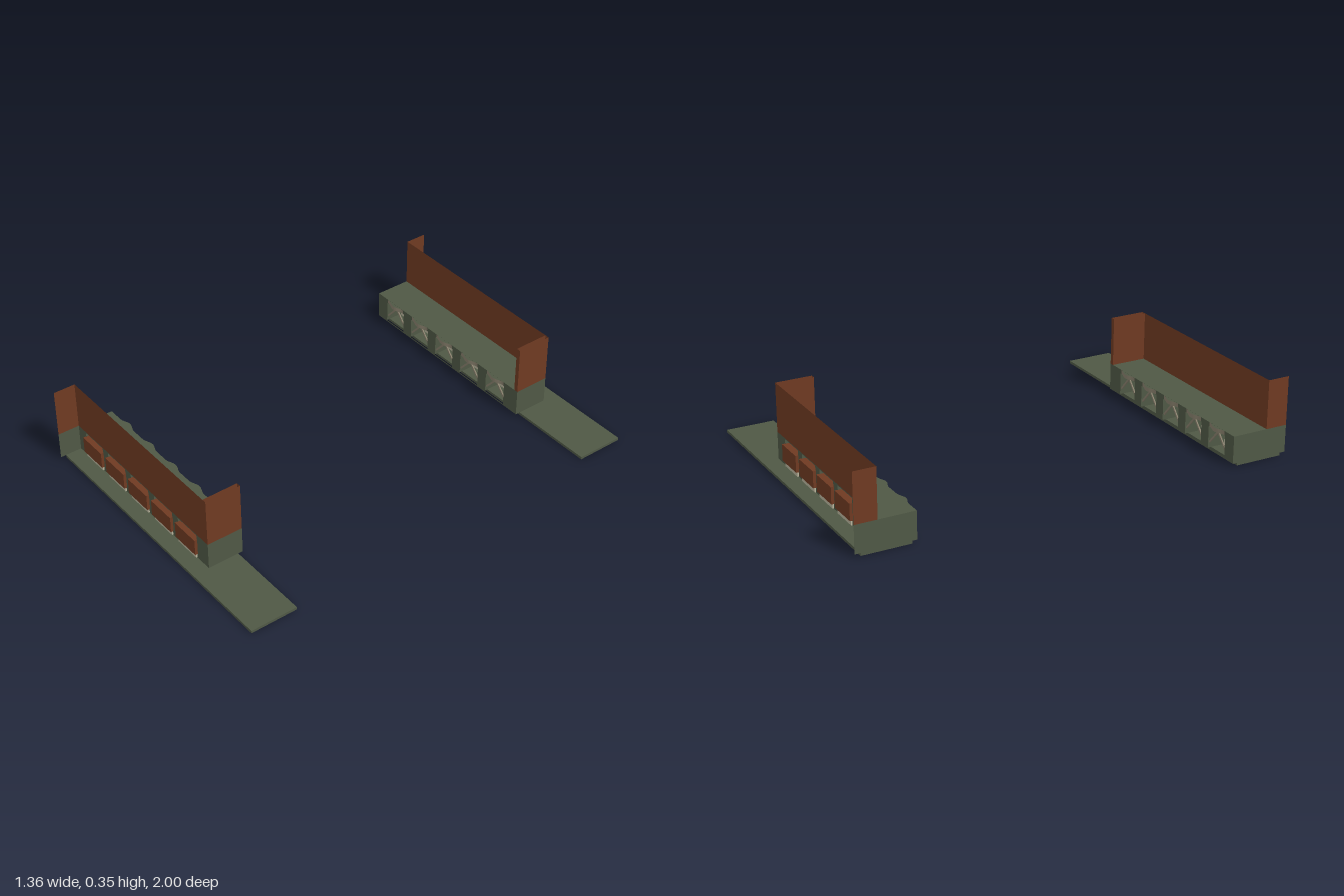
import * as THREE from 'three';

const mat = (name, color) => {
  const m = new THREE.MeshStandardMaterial({ color, side: THREE.DoubleSide });
  m.name = name;
  return m;
};

export function createModel() {
  const green = mat('grey green', 0x4f5845);
  const brown = mat('rust brown', 0x6f3a22);
  const cream = mat('cream', 0xb9b49c);
  const taupe = mat('taupe', 0x877f6c);

  const X0 = -0.68, X1 = 0.265, X2 = 0.285;      // left end, deck end, end pier
  const FLOOR = 0.012, DECK = 0.135, TOP = 0.355;
  const IN = 0.735, OUT = 0.9, EDGE = 1.0;       // distances from the centre line
  const bays = [0, 1, 2, 3, 4].map((i) => -0.557 + i * 0.174);

  // One row of stalls; s is the side of the centre line it stands on.
  function createRow(s) {
    const row = new THREE.Group();
    row.name = s > 0 ? 'frontRow' : 'backRow';
    const add = (name, geo, material) => {
      const mesh = new THREE.Mesh(geo, material);
      mesh.name = name;
      row.add(mesh);
      return mesh;
    };
    const box = (name, m, x0, x1, y0, y1, z0, z1) =>
      add(name, new THREE.BoxGeometry(x1 - x0, y1 - y0, z1 - z0), m)
        .position.set((x0 + x1) / 2, (y0 + y1) / 2, s * (z0 + z1) / 2);
    // Upright sheets without thickness, along x or along z
    const sheetX = (name, m, x0, x1, y0, y1, z) =>
      add(name, new THREE.PlaneGeometry(x1 - x0, y1 - y0), m)
        .position.set((x0 + x1) / 2, (y0 + y1) / 2, s * z);
    const sheetZ = (name, m, x, y0, y1, z0, z1) => {
      const mesh = add(name, new THREE.PlaneGeometry(z1 - z0, y1 - y0), m);
      mesh.rotation.y = Math.PI / 2;
      mesh.position.set(x, (y0 + y1) / 2, s * (z0 + z1) / 2);
    };
    // Low wall with one opening per bay
    const stallWall = (name, z, half, y0, y1) => {
      const shape = new THREE.Shape([[X0, FLOOR], [X1, FLOOR], [X1, DECK], [X0, DECK]]
        .map((p) => new THREE.Vector2(...p)));
      for (const c of bays) {
        shape.holes.push(new THREE.Path([[c - half, y0], [c - half, y1], [c + half, y1], [c + half, y0]]
          .map((p) => new THREE.Vector2(...p))));
      }
      add(name, new THREE.ShapeGeometry(shape), green).position.z = s * z;
    };

    // Ground slab and deck
    box('groundSlab', green, X0, 0.68, 0, FLOOR, 0.757, 0.975);
    box('deck', green, X0, X1, DECK - 0.004, DECK, IN, OUT);
    stallWall('outerStallWall', OUT, 0.066, FLOOR + 0.001, DECK - 0.004);
    stallWall('innerStallWall', IN, 0.06, FLOOR + 0.006, 0.116);

    // Long upper wall and its end screens
    sheetX('upperWall', brown, X0, X1, DECK, TOP, OUT);
    sheetZ('stallEnd', green, X0, FLOOR, DECK, IN, OUT);
    for (const [m, y0, y1] of [[green, FLOOR, DECK], [brown, DECK, TOP]]) {
      sheetZ('sideScreen', m, X0, y0, y1, OUT, EDGE);
      sheetZ('pierInner', m, X1, y0, y1, IN, OUT);
      sheetZ('pierOuter', m, X2, y0, y1, IN, OUT);
      sheetX('pierEdge', m, X1, X2, y0, y1, OUT);
      sheetX('pierEdge', m, X1, X2, y0, y1, IN);
    }

    for (const c of bays) {
      // Projecting crate on a pale footing
      box('crate', brown, c - 0.07, c + 0.07, 0.035, 0.11, 0.865, 0.913);
      box('footing', cream, c - 0.063, c + 0.063, FLOOR, 0.035, 0.82, 0.905);
      // Green cheeks dividing the bays
      for (const k of [-1, 1]) sheetZ('bayCheek', green, c + k * 0.068, FLOOR, DECK - 0.004, IN, OUT);

      // Bell-shaped canopy over the inner opening
      const pts = [];
      for (let i = 0; i <= 16; i++) {
        const t = i / 8 - 1;
        pts.push(new THREE.Vector2(c + t * 0.055, -s * (IN - 0.0075 * (1 + Math.cos(Math.PI * t)))));
      }
      const canopy = new THREE.ExtrudeGeometry(new THREE.Shape(pts), { depth: 0.018, bevelEnabled: false });
      canopy.rotateX(-Math.PI / 2);
      add('canopy', canopy, [green, taupe]).position.y = DECK - 0.0185;

      // Pale crossing braces in the inner opening
      for (const k of [-1, 1]) {
        const brace = add('brace', new THREE.BoxGeometry(0.095, 0.008, 0.006), taupe);
        brace.position.set(c + k * 0.028, 0.078, s * (IN + 0.008));
        brace.rotation.z = -k * 0.85;
      }
    }
    return row;
  }

  const model = new THREE.Group();
  model.name = 'stallRows';
  model.add(createRow(1), createRow(-1));
  return model;
}
